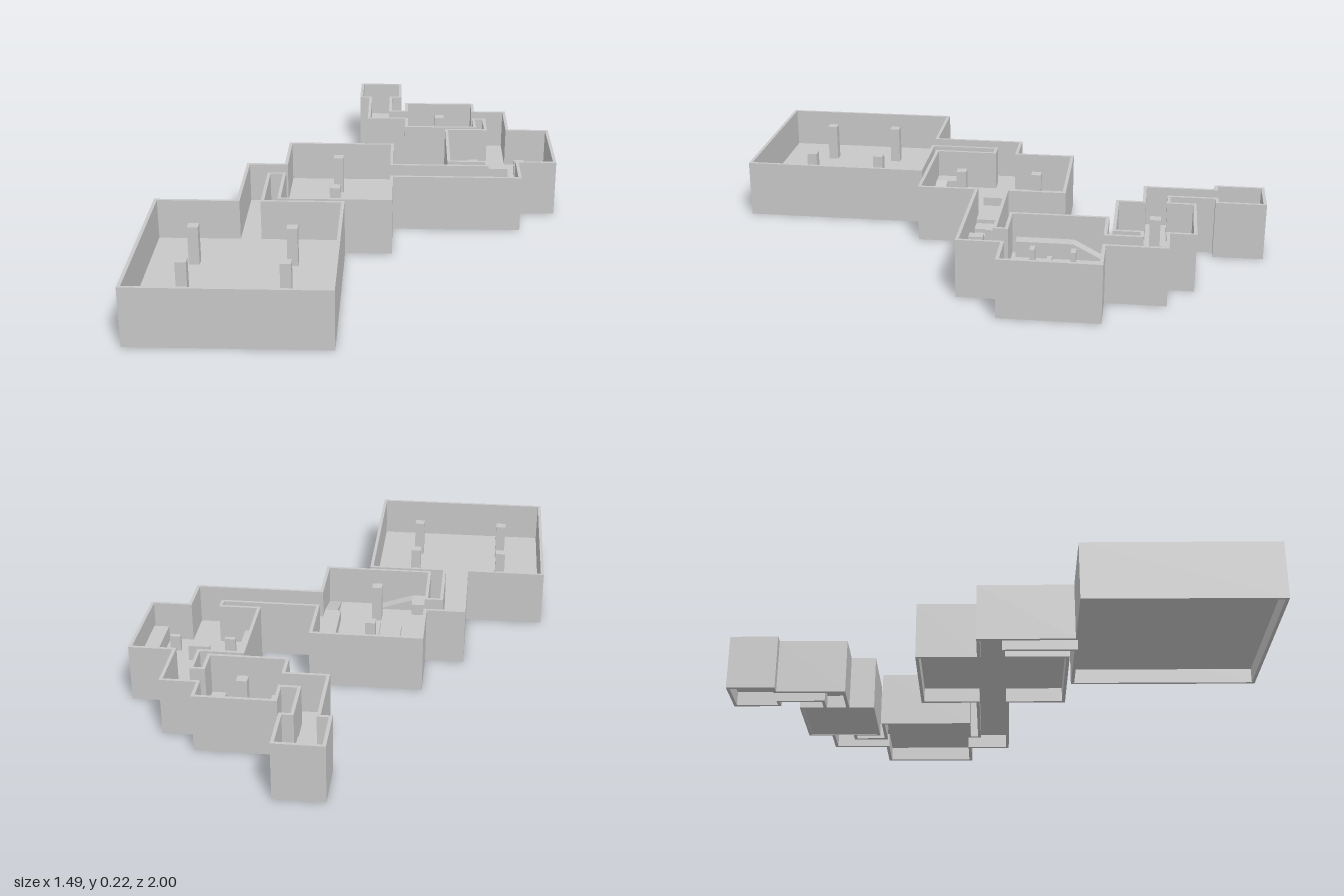
import * as THREE from 'three';

const HEIGHT = 0.215, WALL = 0.012, FLOOR = 0.065;

// Outer plan outline as x, z pairs, interior on the right-hand side
const PLAN = [
  -0.745, 0.308, -0.446, 0.308, -0.446, -0.042, -0.3, -0.042, -0.3, -0.265, 0.117, -0.265,
  0.117, -0.051, 0.47, -0.051, 0.47, -0.081, 0.325, -0.081, 0.325, -0.438, 0.484, -0.438,
  0.484, -0.551, 0.453, -0.551, 0.453, -0.454, 0.16, -0.454, 0.16, -0.551, 0.004, -0.551,
  0.004, -0.815, -0.036, -0.815, -0.036, -1, 0.144, -1, 0.144, -0.815, 0.104, -0.815,
  0.104, -0.652, 0.16, -0.652, 0.16, -0.746, 0.453, -0.746, 0.453, -0.652, 0.584, -0.652,
  0.584, -0.438, 0.745, -0.438, 0.745, -0.081, 0.6, -0.081, 0.6, 0.076, 0.117, 0.076,
  0.117, 0.293, -0.3, 0.293, -0.3, 0.06, -0.346, 0.06, -0.346, 0.308, -0.055, 0.308,
  -0.055, 1, -0.745, 1,
];

// Outline moved inwards by d, as points with y = -z
function outline(d) {
  const n = PLAN.length / 2;
  const at = (i) => new THREE.Vector2(PLAN[((i + n) % n) * 2], PLAN[((i + n) % n) * 2 + 1]);
  const inward = (a, b) => {
    const e = b.clone().sub(a).normalize();
    return new THREE.Vector2(-e.y, e.x);
  };
  return Array.from({ length: n }, (_, i) => {
    const p = at(i);
    const shift = inward(at(i - 1), p).add(inward(p, at(i + 1)));
    p.addScaledVector(shift, d);
    return new THREE.Vector2(p.x, -p.y);
  });
}

// Upright extrusion; the hole runs opposite to the outline so its sides face inwards
function slab(points, hole, y0, y1) {
  const shape = new THREE.Shape(points);
  shape.holes.push(new THREE.Path([...hole].reverse()));
  return new THREE.ExtrudeGeometry(shape, { depth: y1 - y0, bevelEnabled: false })
    .rotateX(-Math.PI / 2)
    .translate(0, y0, 0);
}

export function createModel() {
  const model = new THREE.Group();
  const stone = new THREE.MeshStandardMaterial({ color: 0xc8c8c8 });
  stone.name = 'grey stone';

  const add = (name, geometry) => {
    const mesh = new THREE.Mesh(geometry, stone);
    mesh.name = name;
    model.add(mesh);
  };
  const boxGeometry = (x0, x1, z0, z1, y0, y1) =>
    new THREE.BoxGeometry(x1 - x0, y1 - y0, z1 - z0)
      .translate((x0 + x1) / 2, (y0 + y1) / 2, (z0 + z1) / 2);
  const block = (name, ...bounds) => add(name, boxGeometry(...bounds));

  // Ramp: a box whose top is lowered at one end; isLow picks that end
  const ramp = (name, x0, x1, z0, z1, y0, y1, isLow) => {
    const g = boxGeometry(x0, x1, z0, z1, y0, y1).toNonIndexed();
    const p = g.attributes.position;
    for (let i = 0; i < p.count; i++) {
      if (p.getY(i) > y0 + 0.002 && isLow(p.getX(i), p.getZ(i))) p.setY(i, y0 + 0.001);
    }
    g.computeVertexNormals();
    add(name, g);
  };

  const pillar = (x, z, y0) =>
    block('pillar', x - 0.019, x + 0.019, z - 0.019, z + 0.019, y0, 0.208);

  // Continuous outer wall and raised floor with an opening for the sunken room
  add('outerWalls', slab(outline(0), outline(WALL), 0, HEIGHT));
  const pit = [[0.224, 0.734], [0.389, 0.734], [0.389, 0.466], [0.224, 0.466]]
    .map(([x, y]) => new THREE.Vector2(x, y));
  add('floor', slab(outline(0.006), pit, FLOOR - 0.01, FLOOR));

  // Large front hall
  for (const x of [-0.573, -0.227]) for (const z of [0.516, 0.786]) pillar(x, z, FLOOR);

  // Middle hall: pillars, centre block, platforms and ramps
  const deck = 0.11;
  for (const z of [-0.135, 0.157]) pillar(-0.097, z, FLOOR);
  block('centreBlock', -0.2, -0.12, -0.053, 0.073, FLOOR, 0.085);
  block('centreBlockEdge', -0.12, -0.097, -0.053, 0.073, FLOOR, 0.098);
  block('entryPlatform', 0.043, 0.106, -0.119, 0.121, FLOOR, deck);
  ramp('entryRamp', 0.057, 0.106, 0.121, 0.282, FLOOR, deck, (x, z) => z > 0.2);
  block('cornerPlatform', -0.29, -0.23, 0.2, 0.282, FLOOR, deck);
  ramp('cornerRamp', -0.23, -0.097, 0.237, 0.282, FLOOR, deck, (x) => x > -0.16);

  // Corridor stairs and staggered cover
  [0.157, 0.212, 0.242].forEach((x, i, xs) =>
    block('stair', i ? xs[i - 1] : 0.105, x, -0.04, 0.065, FLOOR, deck - i * 0.015));
  block('cover', 0.267, 0.302, -0.04, 0.012, FLOOR, 0.13);
  block('cover', 0.333, 0.37, 0.012, 0.065, FLOOR, 0.13);
  block('cover', 0.398, 0.434, -0.04, 0.012, FLOOR, 0.13);

  // Side hall: a ramped gallery on each side and low barriers
  for (const [x0, x1] of [[0.336, 0.382], [0.677, 0.734]]) {
    block('gallery', x0, x1, -0.315, -0.108, FLOOR, 0.125);
    ramp('galleryRamp', x0, x1, -0.427, -0.315, FLOOR, 0.125, (x, z) => z < -0.37);
  }
  for (const [x, z] of [[0.438, -0.32], [0.622, -0.32], [0.428, -0.174], [0.637, -0.174]]) {
    block('barrier', x - 0.02, x + 0.02, z - 0.009, z + 0.009, FLOOR, 0.125);
  }
  block('centreBarrier', 0.492, 0.572, -0.25, -0.232, FLOOR, 0.125);

  // Sunken room with a landing at each side
  block('sunkenFloor', 0.166, 0.447, -0.74, -0.46, 0.002, 0.012);
  block('landing', 0.17, 0.224, -0.735, -0.465, 0.012, FLOOR);
  block('landing', 0.389, 0.443, -0.735, -0.465, 0.012, FLOOR);
  ramp('sunkenRamp', 0.224, 0.367, -0.735, -0.695, 0.012, FLOOR, (x) => x > 0.3);
  pillar(0.303, -0.6, 0.012);

  // Raised step into the small back room
  block('backStep', 0.015, 0.093, -0.827, -0.743, FLOOR, 0.078);
  block('backRoomFloor', -0.025, 0.133, -0.989, -0.827, FLOOR, 0.078);

  return model;
}
